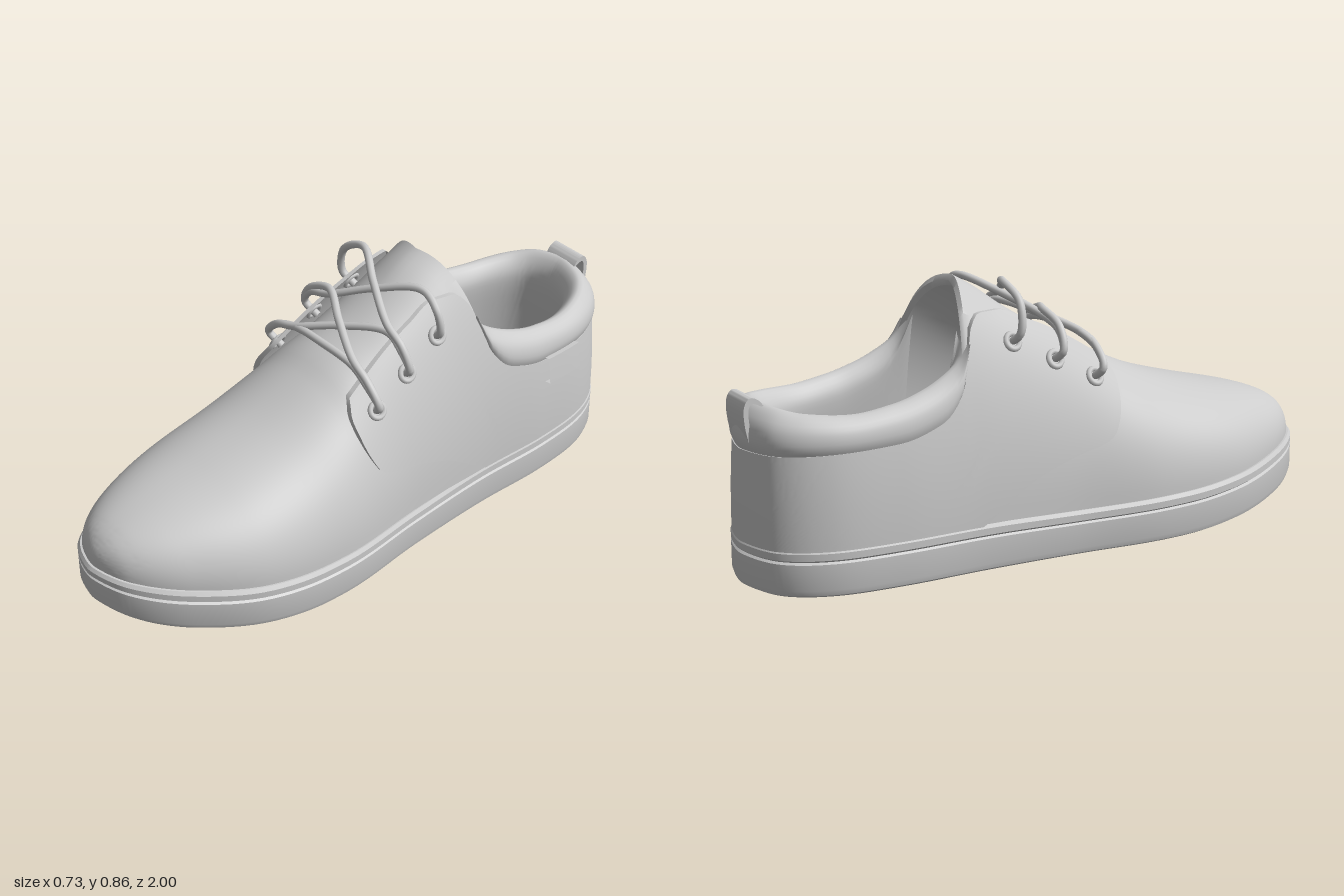
import * as THREE from 'three';
import { mergeVertices, toCreasedNormals } from 'three/addons/utils/BufferGeometryUtils.js';

const { PI, sin, cos, acos, abs, sign, sqrt, pow, max, min } = Math;
const lerp = THREE.MathUtils.lerp;
const V = (x, y, z) => new THREE.Vector3(x, y, z);
const material = new THREE.MeshStandardMaterial({ color: 0xcccccc, side: THREE.DoubleSide });

// Smooth curve through [z, value] pairs, listed by falling z
function curve(pairs) {
  const p = pairs.slice().reverse();
  const slope = (i) => (p[i + 1][1] - p[i][1]) / (p[i + 1][0] - p[i][0]);
  const tangent = (i) => {
    if (i === 0) return slope(0);
    if (i === p.length - 1) return slope(i - 1);
    const a = slope(i - 1), b = slope(i);
    return a * b <= 0 ? 0 : (2 * a * b) / (a + b);
  };
  return (z) => {
    if (z <= p[0][0]) return p[0][1];
    if (z >= p[p.length - 1][0]) return p[p.length - 1][1];
    let i = 0;
    while (z > p[i + 1][0]) i++;
    const d = p[i + 1][0] - p[i][0], t = (z - p[i][0]) / d, s = 1 - t;
    return p[i][1] * (1 + 2 * t) * s * s + p[i + 1][1] * t * t * (3 - 2 * t)
      + d * t * s * (s * tangent(i) - t * tangent(i + 1));
  };
}

// Sheet of nu x nv cells from a point rule
function sheet(nu, nv, rule, crease = 0.7) {
  const pos = [], index = [];
  for (let i = 0; i <= nu; i++) for (let j = 0; j <= nv; j++) pos.push(...rule(i, j).toArray());
  for (let i = 0; i < nu; i++) for (let j = 0; j < nv; j++) {
    const a = i * (nv + 1) + j, b = a + nv + 1;
    index.push(a, b, a + 1, b, b + 1, a + 1);
  }
  const g = new THREE.BufferGeometry();
  g.setAttribute('position', new THREE.Float32BufferAttribute(pos, 3));
  g.setIndex(index);
  return toCreasedNormals(mergeVertices(g, 1e-5), crease);
}

// Footprint edges (left x, right x) at even angles from toe to heel
const footprint = new THREE.SplineCurve([
  [-0.02, -0.02], [0.115, -0.155], [0.24, -0.267], [0.34, -0.352], [0.36, -0.37], [0.315, -0.335],
  [0.285, -0.315], [0.275, -0.31], [0.235, -0.28], [0.135, -0.19], [-0.03, -0.03],
].map(([l, r]) => new THREE.Vector2(l, r)));
function edge(side, angle) {
  const e = footprint.getPoint(min(1, max(0, angle / PI)));
  const cx = (e.x + e.y) / 2;
  return { cx, w: (side > 0 ? e.x : e.y) - cx, z: cos(angle) };
}

// Height curves along the length
const soleBottom = curve([[1, 0.115], [0.9, 0.08], [0.8, 0.058], [0.6, 0.03], [0.4, 0.012], [0, 0.006], [-1, 0]]);
const soleTop = curve([[1, 0.24], [0.8, 0.203], [0.6, 0.175], [0.4, 0.158], [0, 0.148], [-0.3, 0.152], [-1, 0.147]]);
const ridge = curve([[1, 0.24], [0.995, 0.275], [0.98, 0.305], [0.95, 0.335], [0.9, 0.362], [0.8, 0.395], [0.6, 0.443],
  [0.4, 0.5], [0.2, 0.59], [0.14, 0.625], [0, 0.69], [-0.1, 0.75], [-0.2, 0.82], [-0.27, 0.86]]);
const quarterRidge = curve([[0.2, 0.655], [0, 0.79], [-0.2, 0.88], [-0.4, 0.95], [-1, 0.95]]);
const quarterTop = curve([[0.19, 0.575], [0, 0.69], [-0.1, 0.735], [-0.2, 0.772], [-0.27, 0.772], [-0.31, 0.74],
  [-0.34, 0.66], [-0.37, 0.56], [-0.45, 0.475], [-0.6, 0.435], [-1, 0.42]]);
const quarterFront = curve([[1, 0.165], [0.9, 0.185], [0.75, 0.178], [0.5, 0.14], [0.42, 0.1], [0.33, 0],
  [0.2, -0.15], [0.1, -0.24], [0, -0.33]]);
const collarTop = curve([[-0.33, 0.69], [-0.36, 0.645], [-0.42, 0.605], [-0.5, 0.57], [-0.6, 0.546],
  [-0.75, 0.53], [-0.9, 0.54], [-1, 0.56]]);

// Point on the side wall at a given height, pushed out by off
function wall(side, angle, y, off = 0) {
  const { cx, w, z } = edge(side, angle);
  const h = (y - soleTop(z)) / (quarterRidge(z) - soleTop(z));
  const f = sqrt(max(0.01, 1 - h * h));
  const zz = z < -0.5 ? -0.5 + (z + 0.5) * pow(f, 0.3) * (1 + off / 0.5) : z;
  return V(cx + w * f * (1 + off / 0.3), y, zz);
}

function makeSole() {
  // [width factor, inset, height fraction] from the underside round to the footbed
  const rings = [[0, -0.07, 0], [1, -0.07, 0], [1, -0.064, 0.05], [1, -0.058, 0], [1, -0.018, 0], [1, -0.005, 0.05],
    [1, 0, 0.16], [1, 0, 0.7], [1, -0.007, 0.74], [1, 0, 0.78], [1, 0, 0.92], [1, -0.008, 1], [1, -0.03, 1], [0, -0.03, 1]];
  return sheet(160, rings.length - 1, (i, j) => {
    const a = (i / 160) * 2 * PI, side = a <= PI ? 1 : -1;
    const { cx, w, z } = edge(side, side > 0 ? a : 2 * PI - a);
    const [k, off, h] = rings[j];
    return V(cx + w * k * (1 + off / 0.35), lerp(soleBottom(z), soleTop(z), h), z * (1 + off));
  }, 0.5);
}

// Toe box running back into the tongue, with a folded lip at its end
function makeVamp() {
  const n = 80, end = acos(-0.27);
  return sheet(n + 2, 48, (i, j) => {
    const a = (min(i, n) / n) * end, q = (j / 48) * PI;
    const side = q <= PI / 2 ? 1 : -1, lip = max(0, i - n);
    const { cx, w, z } = edge(side, a);
    const y0 = soleTop(z) - 0.008, c = abs(cos(q)), k = 1 - lip * 0.025;
    const back = THREE.MathUtils.smoothstep(-z, 0, 0.27);
    return V(cx + w * 0.965 * pow(c, 0.9) * k, y0 + (ridge(z) - y0) * pow(sin(q) + 1e-9, 0.9) * k,
      z * 0.985 - 0.1 * c * back - (lip === 1 ? 0.012 : 0));
  }, 1.2);
}

// Side and heel panel with turned edges
function makeQuarter() {
  const nu = 200, nv = 28;
  return sheet(nu + 2, nv + 1, (i, j) => {
    const u = (min(nu, max(0, i - 1)) / nu) * 2 - 1, v = min(j, nv) / nv;
    const angle = lerp(PI, acos(quarterFront(v)), abs(u)), z = cos(angle);
    const turned = i === 0 || i === nu + 2 || j > nv;
    return wall(u < 0 ? -1 : 1, angle, lerp(soleTop(z) - 0.008, quarterTop(z), v), turned ? -0.03 : -0.003);
  }, 0.7);
}

// Padded collar rolling over into the lining
function makeCollar() {
  const nu = 110, nv = 26;
  return sheet(nu, nv, (i, j) => {
    const u = (i / nu) * 2 - 1, angle = lerp(PI, acos(-0.33), abs(u)), z = cos(angle);
    const lo = quarterTop(z), hi = collarTop(z);
    const section = new THREE.SplineCurve([[-0.012, lo - 0.012], [0.007, lerp(lo, hi, 0.25)], [0.002, lerp(lo, hi, 0.7)],
      [-0.04, hi], [-0.088, lerp(lo, hi, 0.65)], [-0.1, lerp(lo, hi, 0.1)], [-0.085, 0.3], [-0.06, 0.148]]
      .map((p) => new THREE.Vector2(...p)));
    const p = section.getPoint(j / nv);
    return wall(u < 0 ? -1 : 1, angle, p.y, p.x);
  }, 1.2);
}

export function createModel() {
  const shoe = new THREE.Group();
  shoe.name = 'shoe';
  const add = (name, geometry) => {
    const mesh = new THREE.Mesh(geometry, material);
    mesh.name = name;
    shoe.add(mesh);
    return mesh;
  };
  add('sole', makeSole());
  add('vampAndTongue', makeVamp());
  add('quarter', makeQuarter());
  add('collar', makeCollar());

  // Eyelets, three a side, from front to back
  const holes = [[0.1, 0.545], [-0.035, 0.612], [-0.175, 0.68]];
  const eyelet = (side, k) => {
    const [z, y] = holes[k], a = acos(z), p = wall(side, a, y);
    const up = wall(side, a, y + 0.01).sub(p), along = wall(side, a + 0.01, y).sub(p);
    const normal = up.cross(along).normalize();
    if (normal.x * side < 0) normal.negate();
    return { p, normal };
  };
  for (const side of [1, -1]) for (let k = 0; k < 3; k++) {
    const { p, normal } = eyelet(side, k);
    const ring = add('eyelet', new THREE.TorusGeometry(0.024, 0.009, 8, 24));
    ring.position.copy(p);
    ring.quaternion.setFromUnitVectors(V(0, 0, 1), normal);
  }

  // Laces: one straight bar and two crossed pairs
  const lace = (from, to, lift) => {
    const half = (side, k) => {
      const { p, normal } = eyelet(side, k), crown = ridge(p.z) + lift;
      return [p.clone().addScaledVector(normal, -0.02), p.clone().addScaledVector(normal, 0.03).add(V(0, 0.015, 0.01)),
        V(side * 0.222 - 0.008, lerp(p.y, crown, 0.72), p.z + 0.02), V(side * 0.14, crown, p.z + 0.015)];
    };
    const a = half(-1, from), b = half(1, to);
    const mid = V(-0.01, (a[3].y + b[3].y) / 2 + 0.008, (a[3].z + b[3].z) / 2);
    const path = new THREE.CatmullRomCurve3([...a, mid, ...b.reverse()]);
    add('lace', new THREE.TubeGeometry(path, 72, 0.0125, 10));
  };
  lace(0, 0, 0.018);
  lace(0, 1, 0.02);
  lace(1, 2, 0.02);
  lace(1, 0, 0.04);
  lace(2, 1, 0.045);

  // Pull tab folded over the heel
  const fold = [[0.978, 0.43], [0.993, 0.49], [0.996, 0.55], [0.978, 0.58], [0.95, 0.572], [0.925, 0.54]];
  const inner = [[0.91, 0.53], [0.948, 0.556], [0.972, 0.562], [0.982, 0.54], [0.978, 0.49], [0.965, 0.43]];
  const tabShape = new THREE.Shape();
  tabShape.moveTo(...fold[0]);
  tabShape.splineThru(fold.slice(1).map((p) => new THREE.Vector2(...p)));
  tabShape.lineTo(...inner[0]);
  tabShape.splineThru(inner.slice(1).map((p) => new THREE.Vector2(...p)));
  const tab = new THREE.ExtrudeGeometry(tabShape, { depth: 0.13, bevelEnabled: false, curveSegments: 8 });
  add('heelPullTab', toCreasedNormals(tab.rotateY(PI / 2), 0.6)).position.x = -0.095;

  // Small folded label on the left side only
  add('sideLabel', sheet(12, 5, (i, j) => {
    const z = lerp(-0.6, -0.755, i / 12), y = lerp(0.445, 0.355, min(1, max(0, (j - 1) / 3))) - 0.01 * (i / 12);
    return wall(1, acos(z), y, j === 0 || j === 5 ? -0.01 : 0.017);
  }, 0.5));
  return shoe;
}
